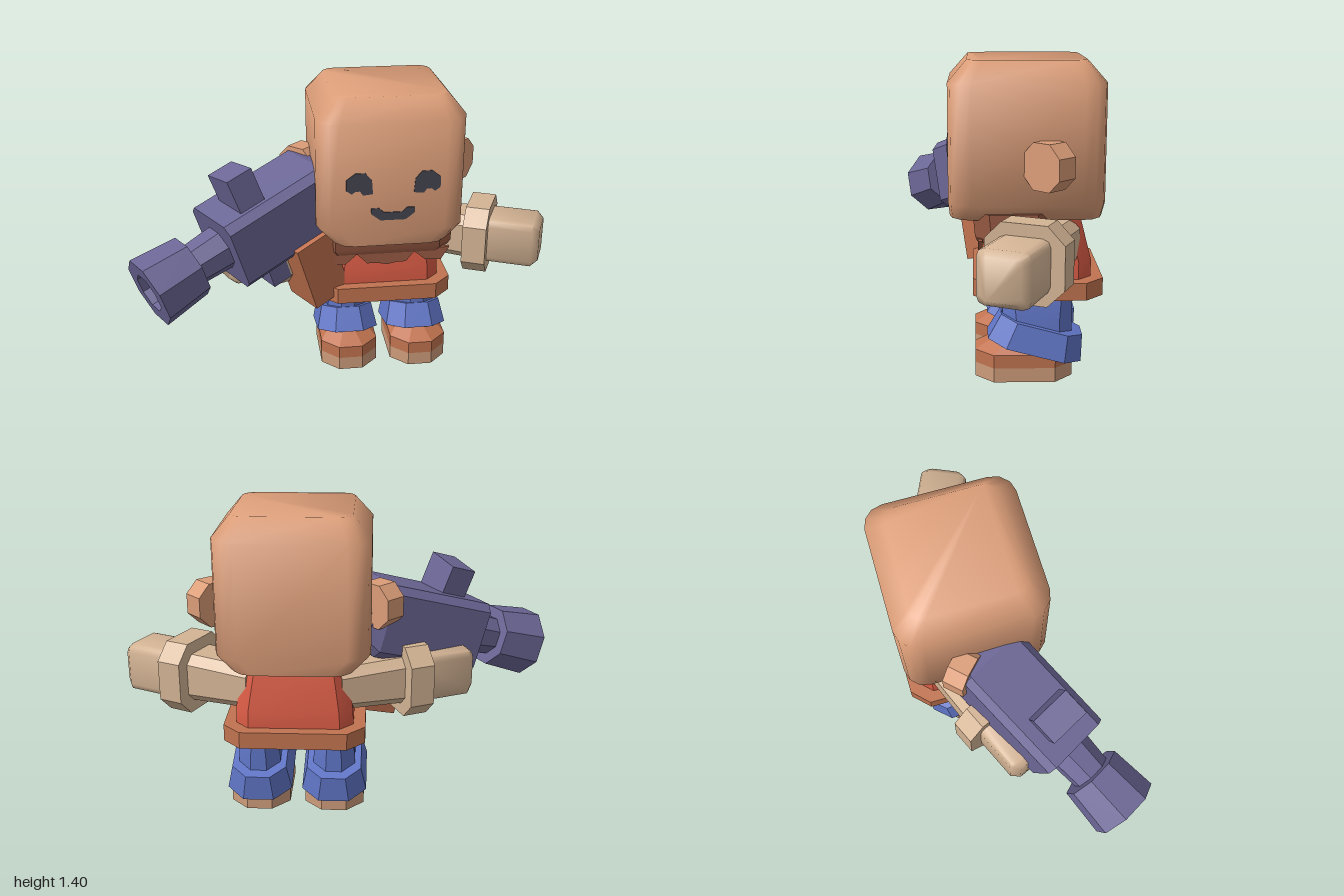
import * as THREE from 'three';
import { toCreasedNormals } from 'three/addons/utils/BufferGeometryUtils.js';

const CX = 0.185; // the figure's own middle line

const mat = (name, color) => {
  const m = new THREE.MeshStandardMaterial({ color });
  m.name = name;
  return m;
};

// Stack of rounded or chamfered rectangles: each ring is [y, halfX, halfZ, corner, z = 0, slope = 0]
function loft(rings, seg = 1, crease = 0.3) {
  const pos = [], idx = [], n = 4 * (seg + 1);
  for (const [y, w, d, c, z0 = 0, slope = 0] of rings) {
    for (let q = 0; q < 4; q++) for (let k = 0; k <= seg; k++) {
      const a = (q + k / seg) * Math.PI / 2;
      const sx = q === 0 || q === 3 ? 1 : -1, sz = q < 2 ? 1 : -1;
      const z = sz * (d - c) + c * Math.sin(a);
      pos.push(sx * (w - c) + c * Math.cos(a), y + slope * z, z0 + z);
    }
  }
  const last = rings.length - 1;
  for (let i = 0; i < last; i++) for (let j = 0; j < n; j++) {
    const a = i * n + j, b = i * n + (j + 1) % n;
    idx.push(a, a + n, b, b, a + n, b + n);
  }
  for (let j = 1; j < n - 1; j++) {
    idx.push(0, j, j + 1);
    idx.push(last * n, last * n + j + 1, last * n + j);
  }
  const g = new THREE.BufferGeometry();
  g.setAttribute('position', new THREE.Float32BufferAttribute(pos, 3));
  g.setIndex(idx);
  g.computeVertexNormals();
  return toCreasedNormals(g, crease);
}

// Thin plate cut from an outline
function plate(points, depth) {
  const shape = new THREE.Shape(points.map(([x, y]) => new THREE.Vector2(x, y)));
  return new THREE.ExtrudeGeometry(shape, { depth, bevelEnabled: false });
}

export function createModel() {
  const model = new THREE.Group();
  model.name = 'figure';
  const skin = mat('skin', 0xdb9d78), tan = mat('tan', 0xd3b394), purple = mat('purple', 0x6c6796);
  const red = mat('red', 0xd85b45), rust = mat('rust', 0xc17350), blue = mat('blue', 0x6075c6);
  const brown = mat('brown', 0x985a43), dark = mat('dark grey', 0x44454f), sole = mat('sole', 0xcc9c7a);

  const add = (parent, name, geo, material, x = 0, y = 0, z = 0) => {
    const m = new THREE.Mesh(geo, material);
    m.name = name;
    m.position.set(x, y, z);
    parent.add(m);
    return m;
  };

  // Head
  add(model, 'head', loft([
    [0.725, 0.27, 0.332, 0.1], [0.8, 0.34, 0.3375, 0.1],
    [1.31, 0.34, 0.3375, 0.1], [1.405, 0.26, 0.255, 0.06],
  ], 3, 0.95), skin, CX, 0, -0.1375);

  // Face
  const eye = [[0.06, 0], [0.055, 0.065], [0.025, 0.1], [-0.02, 0.1], [-0.06, 0.07],
    [-0.06, 0.02], [-0.035, 0.002], [-0.02, 0.015], [0.002, 0.015], [0.015, -0.005]];
  for (const s of [-1, 1]) {
    add(model, s > 0 ? 'leftEye' : 'rightEye',
      plate(eye.map(([x, y]) => [-s * x, y]), 0.006), dark, CX + s * 0.153, 0.985, 0.198);
  }
  add(model, 'mouth', plate([[-0.1, 0.914], [-0.062, 0.914], [-0.042, 0.893], [0.042, 0.893], [0.062, 0.914],
    [0.1, 0.914], [0.1, 0.888], [0.058, 0.855], [-0.058, 0.855], [-0.1, 0.888]], 0.006), dark, CX, 0, 0.198);

  // Shirt, belt and ragged collar
  add(model, 'shirt', loft([[0.44, 0.265, 0.235, 0.06], [0.53, 0.262, 0.235, 0.06],
    [0.78, 0.215, 0.172, 0.05]]), red, CX, 0, -0.19);
  add(model, 'belt', loft([[0.378, 0.318, 0.285, 0.08], [0.456, 0.318, 0.285, 0.08]]), rust, CX, 0, -0.19);
  add(model, 'collar', loft([[0.625, 0.305, 0.155, 0.07], [0.65, 0.318, 0.165, 0.07],
    [0.76, 0.318, 0.175, 0.07]]), brown, CX, 0, -0.08);
  add(model, 'collarFringe', plate([[-0.3, 0.64], [-0.26, 0.575], [-0.2, 0.575], [-0.145, 0.625], [-0.095, 0.575],
    [-0.05, 0.575], [0, 0.565], [0.05, 0.575], [0.09, 0.575], [0.13, 0.625], [0.185, 0.58], [0.26, 0.575],
    [0.3, 0.64]], 0.02), brown, CX, 0, 0.052);

  for (const s of [-1, 1]) {
    const side = s > 0 ? 'left' : 'right';

    // Ear
    const ear = add(model, side + 'Ear', loft([[-0.05, 0.1, 0.1, 0.055], [0.05, 0.1, 0.1, 0.055]]),
      skin, CX + s * 0.373, 0.98, -0.222);
    ear.rotation.set(0, -0.806 * s, -Math.PI / 2 * s);

    // Arm, built along its own length
    const arm = new THREE.Group();
    arm.name = side + 'Arm';
    arm.position.set(CX + s * 0.5025, 0.613, -0.134);
    arm.rotation.set(0, -0.423 * s, -Math.PI / 2 * s);
    model.add(arm);
    add(arm, 'sleeve', loft([[-0.36, 0.1, 0.1, 0.04], [0, 0.115, 0.115, 0.04]]), tan);
    add(arm, 'cuff', loft([[-0.0575, 0.168, 0.175, 0.075], [0.0575, 0.168, 0.175, 0.075]]), tan);
    add(arm, 'hand', loft([[0, 0.115, 0.115, 0.035], [0.27, 0.115, 0.115, 0.035],
      [0.303, 0.088, 0.085, 0.025]], 2, 0.9), tan);

    // Leg, trouser cuff and shoe
    const leg = new THREE.Group();
    leg.name = side + 'Leg';
    leg.position.x = CX + s * 0.174;
    model.add(leg);
    add(leg, 'leg', loft([[0.12, 0.1, 0.155, 0.06, -0.19], [0.27, 0.095, 0.155, 0.06, -0.19],
      [0.39, 0.075, 0.155, 0.05, -0.19]]), blue);
    add(leg, 'trouserCuff', loft([[0.125, 0.15, 0.207, 0.08, -0.177, 0.266],
      [0.238, 0.125, 0.18, 0.07, -0.21, 0.27]]), blue);
    add(leg, 'sole', loft([[0, 0.138, 0.215, 0.08, -0.13], [0.065, 0.138, 0.215, 0.08, -0.13]]), sole);
    add(leg, 'shoe', loft([[0.065, 0.138, 0.215, 0.08, -0.13], [0.125, 0.138, 0.215, 0.08, -0.13],
      [0.178, 0.085, 0.16, 0.06, -0.165]]), rust);
  }

  // Cannon, built with +z along the barrel
  const cannon = new THREE.Group();
  cannon.name = 'cannon';
  cannon.position.set(-0.345, 0.825, 0);
  cannon.lookAt(-0.345 - 0.83, 0.825 - 0.305, 0.467);
  model.add(cannon);
  const along = (name, geo, material, z) => {
    add(cannon, name, geo, material, 0, 0, z).rotation.x = Math.PI / 2;
  };
  along('cannonBody', loft([[-0.3, 0.14, 0.14, 0.04], [-0.24, 0.17, 0.17, 0.035],
    [0.3, 0.17, 0.17, 0.035]]), purple, 0);
  along('barrel', loft([[0.28, 0.1, 0.1, 0.058], [0.48, 0.088, 0.088, 0.051]]), purple, 0);
  const profile = [[0, 0], [0.148, 0], [0.168, 0.225], [0.095, 0.225], [0.09, 0.13]]
    .map(([r, y]) => new THREE.Vector2(r, y));
  const muzzle = new THREE.LatheGeometry(profile, 8, Math.PI / 8);
  along('muzzle', toCreasedNormals(muzzle, 0.3), purple, 0.46);
  along('bore', new THREE.CylinderGeometry(0.094, 0.094, 0.02, 8, 1, false, Math.PI / 8), dark, 0.63);
  add(cannon, 'sight', new THREE.BoxGeometry(0.19, 0.17, 0.13), purple, 0.01, 0.23, 0.13).rotation.z = 0.15;
  add(cannon, 'grip', new THREE.BoxGeometry(0.14, 0.16, 0.1), purple, 0, -0.23, 0.1);
  add(cannon, 'magazine', new THREE.BoxGeometry(0.22, 0.34, 0.2), rust, 0.09, -0.29, -0.06);

  return model;
}
